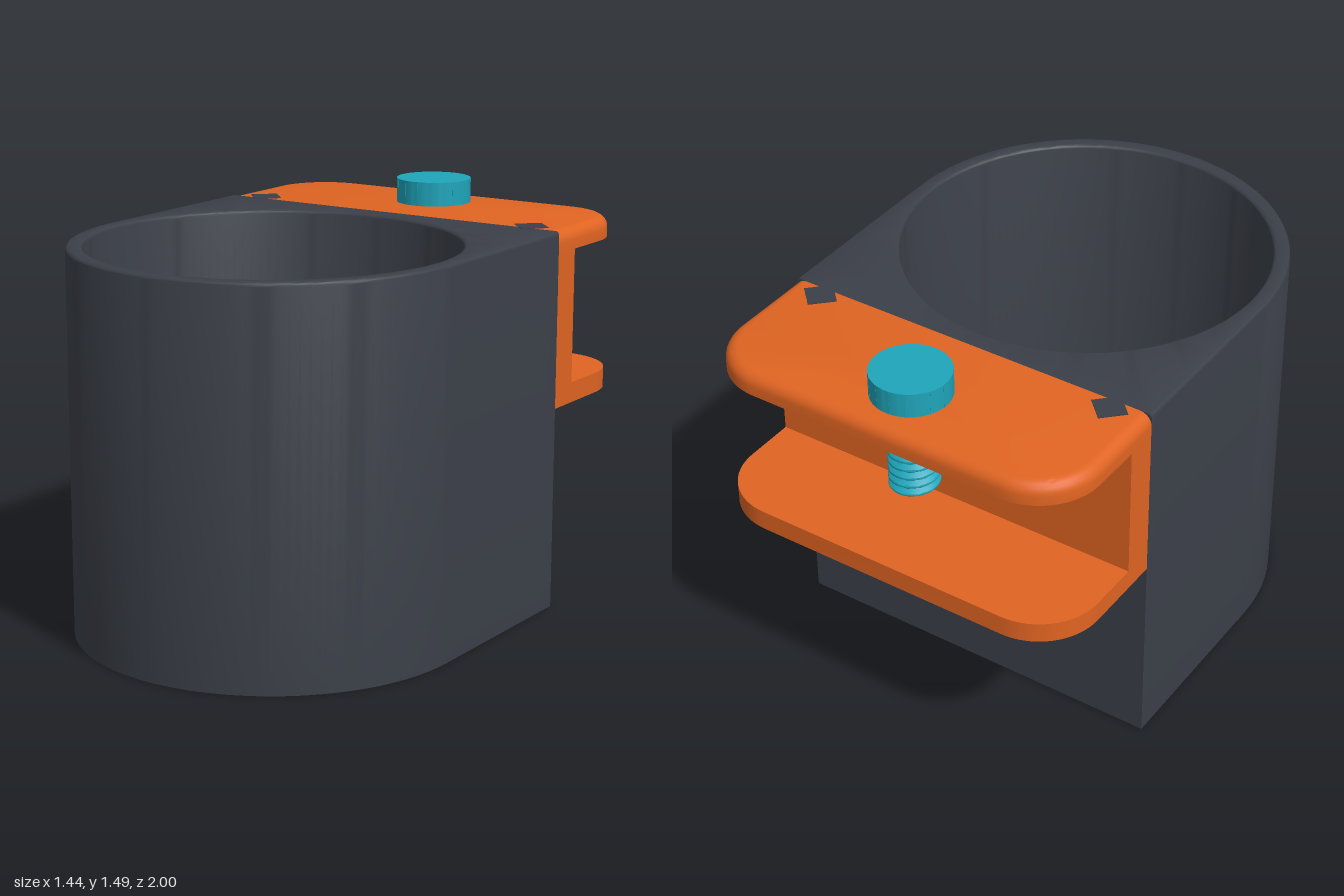
import * as THREE from 'three';
import { toCreasedNormals } from 'three/addons/utils/BufferGeometryUtils.js';

const DARK = new THREE.MeshStandardMaterial({ color: 0x3b3f48 });
const ORANGE = new THREE.MeshStandardMaterial({ color: 0xe06422 });
const TEAL = new THREE.MeshStandardMaterial({ color: 0x1fa5ba });

const HEIGHT = 1.4, HALF = 0.72, CUP_Z = 0.28, BACK = -0.46, SCREW_Z = -0.78;

function part(name, geometry, material, parent) {
  const mesh = new THREE.Mesh(geometry, material);
  mesh.name = name;
  parent.add(mesh);
  return mesh;
}

// Skin a stack of closed rings that all have the same number of points
function loft(rings) {
  const n = rings[0].length, index = [];
  for (let i = 0; i < rings.length - 1; i++) {
    for (let j = 0; j < n; j++) {
      const a = i * n + j, b = i * n + (j + 1) % n;
      index.push(a, a + n, b, b, a + n, b + n);
    }
  }
  const geo = new THREE.BufferGeometry();
  geo.setAttribute('position', new THREE.Float32BufferAttribute(rings.flat(2), 3));
  geo.setIndex(index);
  return toCreasedNormals(geo, 0.5);
}

// Quarter-round steps as [inset, drop below the top], from the side to the top
function fillet(r, steps = 5) {
  return Array.from({ length: steps + 1 }, (_, k) => {
    const a = (k / steps) * Math.PI / 2;
    return [r * (1 - Math.cos(a)), r * (1 - Math.sin(a))];
  });
}

const SEG = 128;
const circle = (r, y) => Array.from({ length: SEG }, (_, j) => {
  const a = (j / SEG) * Math.PI * 2;
  return [r * Math.cos(a), y, CUP_Z + r * Math.sin(a)];
});

// Round at the front, square at the back
const dRing = (r, y) => Array.from({ length: SEG }, (_, j) => {
  const a = (j / SEG) * Math.PI * 2, c = Math.cos(a), s = Math.sin(a);
  if (s >= 0) return [r * c, y, CUP_Z + r * s];
  const m = Math.max(Math.abs(c), Math.abs(s));
  return [r * c / m, y, CUP_Z + (CUP_Z - BACK) * s / m];
});

function cupGeometry() {
  const bore = 0.66, floor = 0.07, rim = fillet(0.015), foot = fillet(0.07);
  return loft([
    circle(0, 0),
    dRing(HALF, 0),
    ...rim.map(([d, h]) => dRing(HALF - d, HEIGHT - h)),
    ...[...rim].reverse().map(([d, h]) => circle(bore + d, HEIGHT - h)),
    ...foot.map(([d, h]) => circle(bore - d, floor + 0.07 - (0.07 - h))),
    circle(0, floor),
  ]);
}

// Jaw outline with two rounded outer corners
function jawRing(inset, y) {
  const R = 0.23, cx = HALF - R, cz = -1 + R, pts = [];
  pts.push([HALF - inset, y, BACK], [inset - HALF, y, BACK]);
  for (const side of [-1, 1]) {
    for (let k = 0; k <= 16; k++) {
      const a = Math.PI * (side < 0 ? 1 : 1.5) + (k / 16) * Math.PI / 2;
      pts.push([side * cx + (R - inset) * Math.cos(a), y, cz + (R - inset) * Math.sin(a)]);
    }
  }
  return pts;
}

function jawGeometry(y0, y1, round) {
  const edge = round ? fillet(round) : [[0, 0]];
  const centre = y => jawRing(0, y).map(() => [0, y, -0.7]);
  return loft([
    centre(y0),
    jawRing(0, y0),
    ...edge.map(([d, h]) => jawRing(d, y1 - h)),
    centre(y1),
  ]);
}

// Disc with small round grip notches
function knobGeometry() {
  const count = 16, r = 0.14, notch = 0.013, half = 0.09, shape = new THREE.Shape();
  for (let k = 0; k < count; k++) {
    const a = (k / count) * Math.PI * 2, next = a + (Math.PI * 2) / count;
    shape.absarc(0, 0, r, a + half, next - half, false);
    shape.absarc(r * Math.cos(next), r * Math.sin(next), notch, next + Math.PI / 2, next - Math.PI / 2 + Math.PI * 2, false);
  }
  const geo = new THREE.ExtrudeGeometry(shape, { depth: 0.09, bevelEnabled: false, curveSegments: 6 });
  return geo.rotateX(-Math.PI / 2);
}

// Cylinder whose radius follows a helix to form the thread
function threadGeometry(length) {
  const pitch = 0.034, geo = new THREE.CylinderGeometry(1, 1, length, 40, 96);
  const p = geo.attributes.position;
  for (let i = 0; i < p.count; i++) {
    const x = p.getX(i), y = p.getY(i), z = p.getZ(i);
    const turn = y / pitch + Math.atan2(z, x) / (Math.PI * 2);
    const wave = Math.abs(2 * (turn - Math.floor(turn)) - 1);
    const r = 0.072 + 0.017 * Math.min(1, wave * 1.3);
    p.setXYZ(i, x * r, y, z * r);
  }
  return toCreasedNormals(geo, 0.6);
}

export function createModel() {
  const model = new THREE.Group();
  model.name = 'clampOnCupHolder';

  part('cup', cupGeometry(), DARK, model);

  // Clamp bracket on the flat back
  const clamp = new THREE.Group();
  clamp.name = 'clamp';
  model.add(clamp);
  part('upperJaw', jawGeometry(1.32, HEIGHT, 0.045), ORANGE, clamp);
  part('lowerJaw', jawGeometry(0.75, 0.825, 0), ORANGE, clamp);
  part('clampWall', new THREE.BoxGeometry(HALF * 2, 0.51, 0.12), ORANGE, clamp)
    .position.set(0, 1.073, BACK - 0.06);

  // Diamond keys joining the cup to the clamp
  for (const side of [-1, 1]) {
    part(side > 0 ? 'leftKey' : 'rightKey', new THREE.BoxGeometry(0.1, 0.63, 0.1), DARK, model);
    const key = model.children[model.children.length - 1];
    key.position.set(side * 0.585, HEIGHT + 0.002 - 0.315, -0.5);
    key.rotation.y = Math.PI / 4;
  }

  // Tightening screw
  const screw = new THREE.Group();
  screw.name = 'screw';
  screw.position.z = SCREW_Z;
  model.add(screw);
  part('knob', knobGeometry(), TEAL, screw).position.y = HEIGHT;
  part('thread', threadGeometry(0.33), TEAL, screw).position.y = 1.03 + 0.165;

  return model;
}
